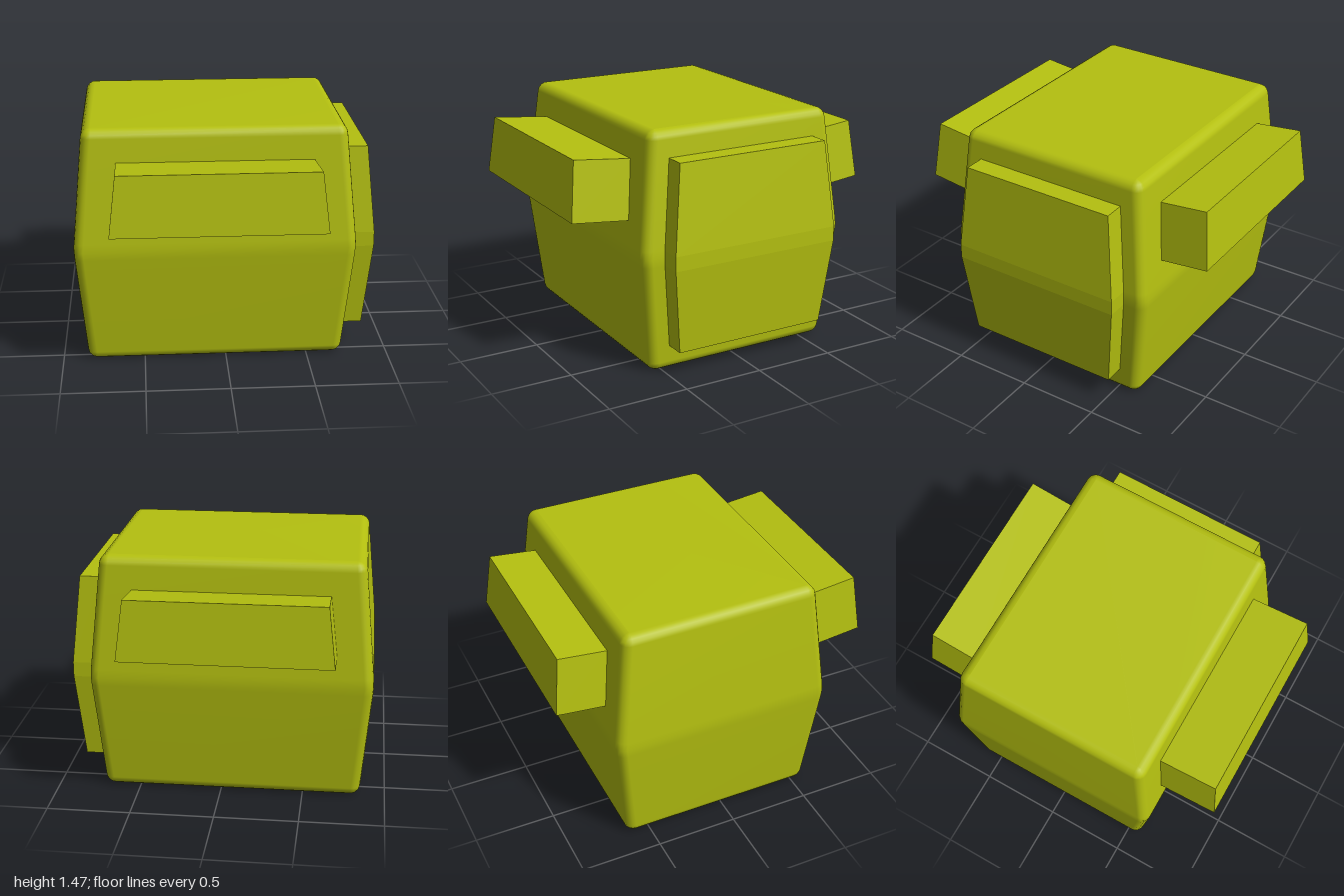
import * as THREE from 'three';

const material = new THREE.MeshStandardMaterial({ color: 0xb4c010 });
const flatMaterial = new THREE.MeshStandardMaterial({ color: 0xb4c010, flatShading: true });

// Skins a stack of rings (each counter-clockwise from above, listed bottom to top) and caps both ends.
function loft(name, rings, mat) {
  const n = rings[0].length, last = (rings.length - 1) * n;
  const index = [];
  for (let r = 0; r < last; r += n) {
    for (let i = 0; i < n; i++) {
      const j = (i + 1) % n;
      index.push(r + i, r + j, r + n + j, r + i, r + n + j, r + n + i);
    }
  }
  for (let i = 1; i < n - 1; i++) {
    index.push(0, i + 1, i, last, last + i, last + i + 1);
  }
  const geometry = new THREE.BufferGeometry();
  geometry.setAttribute('position', new THREE.Float32BufferAttribute(rings.flat(2), 3));
  geometry.setIndex(index);
  geometry.computeVertexNormals();
  const mesh = new THREE.Mesh(geometry, mat);
  mesh.name = name;
  return mesh;
}

// Rounded rectangle at height y
function roundedRing(y, hx, hz, radius, steps = 4) {
  const points = [];
  [[1, -1], [-1, -1], [-1, 1], [1, 1]].forEach(([sx, sz], corner) => {
    for (let k = 0; k <= steps; k++) {
      const a = (corner + k / steps) * Math.PI / 2;
      points.push([sx * (hx - radius) + radius * Math.cos(a), y, sz * (hz - radius) - radius * Math.sin(a)]);
    }
  });
  return points;
}

// Body: bulges at mid height, with rounded edges all round
function createBody() {
  const height = 1.47, mid = height / 2, r = 0.055, steps = 4;
  const profile = []; // [height, inset from the wall]
  for (let k = 0; k <= steps; k++) {
    const a = k / steps * Math.PI / 2;
    profile.push([r * (1 - Math.cos(a)), r * (1 - Math.sin(a))]);
  }
  profile.push([mid - 0.05, 0], [mid, 0.002]);
  const upper = profile.slice(0, -1).reverse().map(([y, inset]) => [height - y, inset]);
  const rings = [...profile, ...upper].map(([y, inset]) => {
    const t = Math.abs(y - mid) / mid;
    return roundedRing(y, 0.847 - 0.067 * t - inset, 0.687 - 0.078 * t - inset, r + 0.002 - inset);
  });
  return loft('body', rings, material);
}

// Tilted block standing square to the sloping upper wall, narrower at the top
function createBlock(name, depth) {
  const tilt = 0.11;
  const dz = depth * Math.cos(tilt), dy = depth * Math.sin(tilt);
  const rings = [[0.625, 0.918, 0.668], [0.583, 1.275, 0.628]].map(([hx, y, z]) => [
    [hx, y, z], [-hx, y, z], [-hx, y + dy, z + dz], [hx, y + dy, z + dz],
  ]);
  return loft(name, rings, flatMaterial);
}

// Side panel: six-sided slab that follows the bulge of the wall
function createPanel() {
  const rings = [[0.16, 0.495, 0.92], [0.69, 0.55, 0.97], [0.78, 0.55, 0.97], [1.31, 0.495, 0.92]]
    .map(([y, hz, x]) => [[x, y, -hz], [x - 0.13, y, -hz], [x - 0.13, y, hz], [x, y, hz]]);
  return loft('sidePanel', rings, flatMaterial);
}

export function createModel() {
  const model = new THREE.Group();
  model.name = 'model';
  const parts = new THREE.Group();
  parts.name = 'bulgingBox';
  parts.position.set(-0.065, 0, -0.032);

  const backBlock = createBlock('backBlock', 0.302);
  backBlock.rotation.y = Math.PI;
  parts.add(createBody(), createBlock('frontBlock', 0.362), backBlock, createPanel());

  model.add(parts);
  return model;
}
